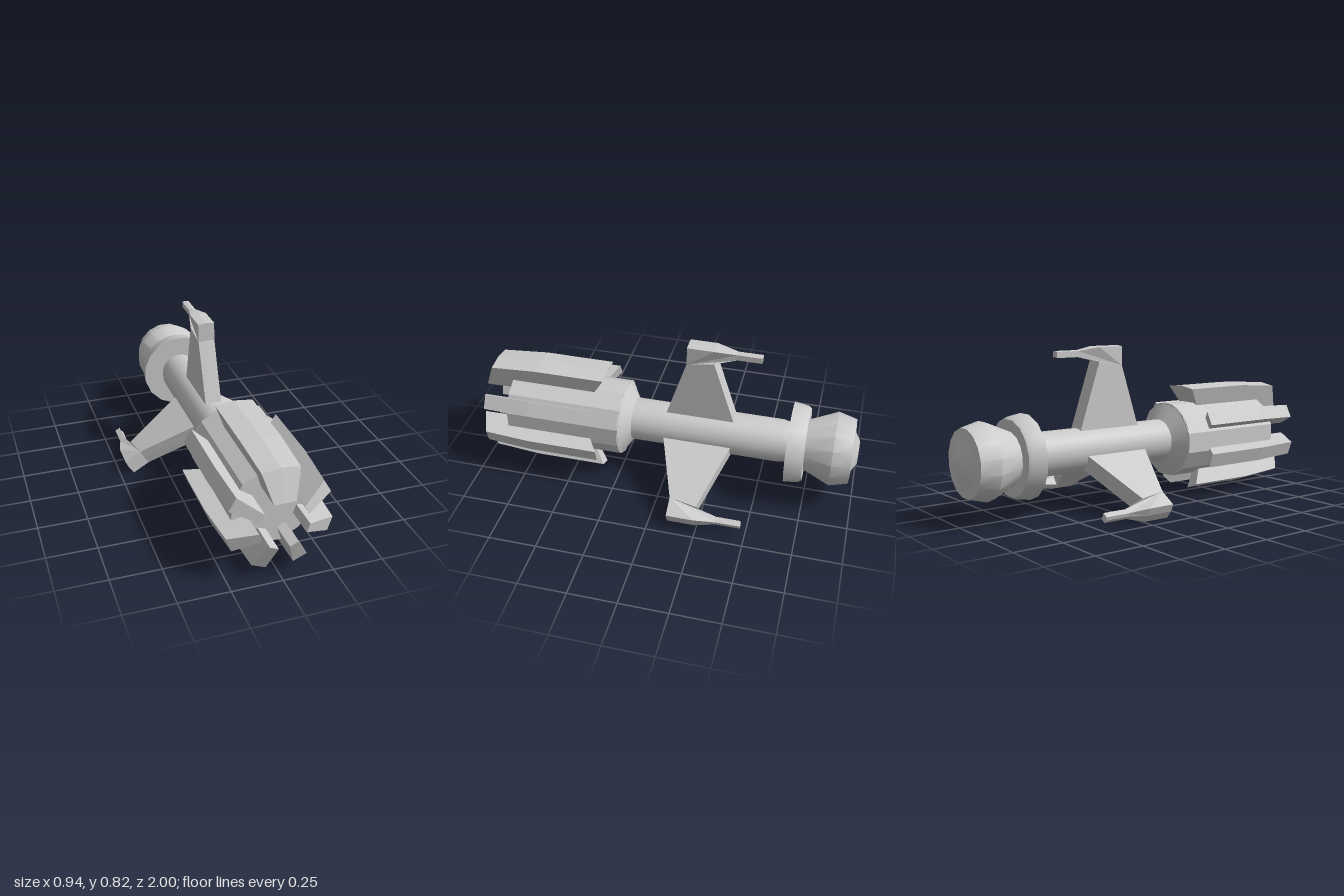
import * as THREE from 'three';
import { toCreasedNormals } from 'three/addons/utils/BufferGeometryUtils.js';

const material = new THREE.MeshStandardMaterial({ color: 0xcccccc });
const flat = new THREE.MeshStandardMaterial({ color: 0xcccccc, flatShading: true });

// Solid of revolution along z from [z, radius] pairs listed from back to front
function turned(name, profile, sides, crease, mat) {
  const points = profile.map(([z, r]) => new THREE.Vector2(r, z));
  let geometry = new THREE.LatheGeometry(points, sides, Math.PI / sides);
  geometry.rotateX(Math.PI / 2);
  if (crease) geometry = toCreasedNormals(geometry, crease);
  const mesh = new THREE.Mesh(geometry, mat);
  mesh.name = name;
  return mesh;
}

// Radial blade: outline of [z, radius] pairs, thickness set by halfWidth(z, radius),
// with an optional raised ridge down the middle of its outer face
function blade(name, outline, halfWidth, degrees, ridge = 0) {
  const shape = new THREE.Shape(outline.map(([z, r]) => new THREE.Vector2(z, r)));
  const geometry = new THREE.ExtrudeGeometry(shape, { depth: 2, steps: 2, bevelEnabled: false });
  const p = geometry.attributes.position;
  for (let i = 0; i < p.count; i++) {
    const z = p.getX(i), r = p.getY(i), side = p.getZ(i) - 1;
    const lift = r > 0.24 ? ridge * (1 - Math.abs(side)) : 0;
    p.setXYZ(i, -side * halfWidth(z, r), r + lift, z);
  }
  geometry.computeVertexNormals();
  const mesh = new THREE.Mesh(geometry, flat);
  mesh.name = name;
  mesh.rotation.z = THREE.MathUtils.degToRad(degrees - 90);
  return mesh;
}

export function createModel() {
  const model = new THREE.Group();
  model.name = 'model';
  model.position.set(-0.004, 0.31, 0);

  // Faceted front drum
  model.add(turned('frontDrum', [[0.23, 0], [0.23, 0.2], [0.84, 0.2], [0.84, 0]], 12, 0, flat));

  // Smooth shaft flaring into the drum
  model.add(turned('shaft', [
    [-0.66, 0.1], [-0.6, 0.112], [0.18, 0.112], [0.235, 0.198], [0.235, 0],
  ], 24, 0.75, material));

  // Rear collar, neck and bulb with a small end cap
  model.add(turned('collar', [
    [-0.735, 0], [-0.735, 0.19], [-0.72, 0.2], [-0.645, 0.212], [-0.645, 0],
  ], 16, 0.6, material));
  model.add(turned('rearBulb', [
    [-1, 0], [-1, 0.06], [-0.975, 0.1], [-0.97, 0.168], [-0.875, 0.193], [-0.73, 0.13], [-0.7, 0.13],
  ], 16, 0.75, material));

  // Fins around the drum, tapering toward the axis
  const finOutline = [
    [0.33, 0.275], [0.39, 0.175], [0.42, 0.12], [0.84, 0.12], [1, 0.12], [0.945, 0.257], [0.7, 0.275],
  ];
  const taper = (inner, outer) => (z, r) =>
    THREE.MathUtils.mapLinear(r, 0.12, 0.275, inner, outer);
  model.add(blade('topFin', finOutline, taper(0.053, 0.096), 91, 0.012));
  for (const degrees of [30.5, -17.5, -65.7, 151.5, 200, 247.8]) {
    model.add(blade('sideFin', finOutline, taper(0.023, 0.039), degrees));
  }

  // Three wings, each with a spike trailing from its tip
  const wingOutline = [
    [0.01, 0.08], [-0.1, 0.42], [-0.1, 0.517], [-0.24, 0.517], [-0.35, 0.5], [-0.475, 0.5],
    [-0.475, 0.47], [-0.35, 0.47], [-0.24, 0.445], [-0.36, 0.08],
  ];
  const wingWidth = (z, r) =>
    r < 0.2 ? 0.043 : THREE.MathUtils.mapLinear(THREE.MathUtils.clamp(z, -0.35, -0.24), -0.35, -0.24, 0.018, 0.043);
  for (let i = 0; i < 3; i++) {
    model.add(blade('wing', wingOutline, wingWidth, 90.8 + i * 120, 0.004));
  }

  const group = new THREE.Group();
  group.add(model);
  return group;
}
